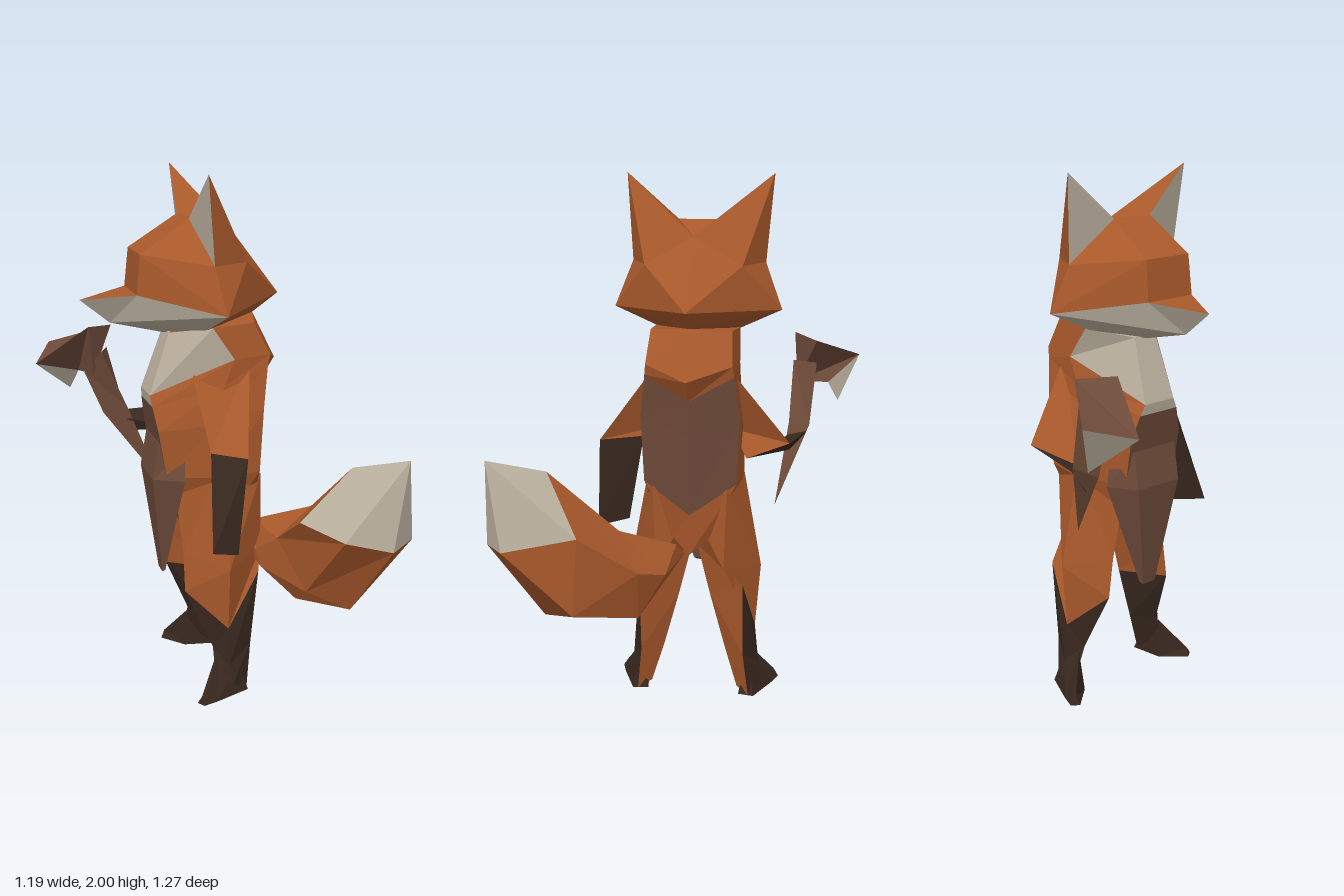
import * as THREE from 'three';

const ORANGE = 0xa9592b, CREAM = 0xbcb19f, DARK = 0x38281f, BROWN = 0x6d4a39;
const MID = -0.05; // the body's mirror plane in z

const vol = ([a, b, c]) => new THREE.Vector3().crossVectors(b, c).dot(a);
const vec = (p, s = 1) => new THREE.Vector3(p[0], p[1], MID + s * p[2]);
const world = (p) => new THREE.Vector3(...p);

// Make one flat-shaded mesh per colour from a list of { tri, color }
function facets(name, list) {
  const group = new THREE.Group();
  group.name = name;
  for (const color of new Set(list.map((f) => f.color))) {
    const pts = list.filter((f) => f.color === color).flatMap((f) => f.tri);
    const geo = new THREE.BufferGeometry().setFromPoints(pts);
    geo.computeVertexNormals();
    const mesh = new THREE.Mesh(geo, new THREE.MeshStandardMaterial({ color, flatShading: true }));
    mesh.name = name + 'Facets';
    group.add(mesh);
  }
  return group;
}

// Skin a closed solid over rings of equal length; pick(ring, side, half) gives a facet's colour
function loft(name, rings, pick) {
  const n = rings[0].length, list = [];
  const add = (a, b, c, color) => {
    if (!a.equals(b) && !b.equals(c) && !a.equals(c)) list.push({ tri: [a, b, c], color });
  };
  for (let r = 0; r < rings.length - 1; r++) {
    for (let i = 0; i < n; i++) {
      const j = (i + 1) % n, [p, q] = [rings[r], rings[r + 1]];
      add(p[i], p[j], q[i], pick(r, i, 0));
      add(p[j], q[j], q[i], pick(r, i, 1));
    }
  }
  const last = rings.length - 1;
  for (let i = 1; i < n - 1; i++) {
    add(rings[0][0], rings[0][i + 1], rings[0][i], pick(0, i, 0));
    add(rings[last][0], rings[last][i], rings[last][i + 1], pick(last, i, 0));
  }
  if (list.reduce((sum, f) => sum + vol(f.tri), 0) < 0) list.forEach((f) => f.tri.reverse());
  return facets(name, list);
}

// Head: named points on one half, each facet mirrored and turned outwards
function makeHead() {
  const P = {
    N: [-0.49, 1.54, 0], J: [-0.38, 1.45, 0], T: [-0.17, 1.4, 0], // nose, jaw, throat
    S: [-0.3, 1.565, 0.105], B: [-0.285, 1.71, 0.1], // snout base, brow
    E: [-0.1, 1.83, 0.085], A: [-0.08, 2, 0.275], O: [-0.05, 1.68, 0.25], // ear
    C: [-0.02, 1.51, 0.315], K: [0.09, 1.68, 0.18], // cheek, skull side
    M: [0.08, 1.78, 0], H: [0.27, 1.53, 0], // crown, back of head
    L: [0.17, 1.46, 0], D: [-0.05, 1.435, 0.16], // nape, under-cheek
  };
  // a lower-case letter is the same point on the other half
  const sets = [
    [ORANGE, 'NSs SsB sbB BbE beE SBC BEO BOC EeM EAM AMK AKO OKC KMH KHC CHL CLD TDd DLd'],
    [CREAM, 'EAO NSJ SJC JCD JDT'],
  ];
  const centre = vec([0.03, 1.57, 0]);
  const list = [], seen = new Set();
  for (const [color, faces] of sets) {
    for (const face of faces.split(' ')) {
      for (const m of [1, -1]) {
        const tri = [...face].map((k) => {
          const up = k.toUpperCase();
          return vec(P[up], k === up ? m : -m);
        });
        const id = tri.map((v) => v.toArray().map((c) => c.toFixed(3)).join()).sort().join('|');
        if (seen.has(id)) continue;
        seen.add(id);
        if (vol(tri.map((v) => v.clone().sub(centre))) < 0) tri.reverse();
        list.push({ tri, color });
      }
    }
  }
  return facets('head', list);
}

export function createModel() {
  const model = new THREE.Group();
  model.name = 'standingFox';
  model.add(makeHead());

  // Torso: front, side, back and spine points per level, mirrored into seven-sided rings
  const levels = [
    [[-0.17, 1.41, 0.05], [-0.03, 1.44, 0.16], [0.13, 1.45, 0.15], [0.17, 1.46, 0]],
    [[-0.25, 1.18, 0.07], [0.05, 1.32, 0.17], [0.19, 1.33, 0.16], [0.26, 1.28, 0]],
    [[-0.245, 1.14, 0.09], [0.01, 1.22, 0.17], [0.18, 1.29, 0.165], [0.21, 1.2, 0]],
    [[-0.23, 1.05, 0.12], [-0.02, 1.08, 0.18], [0.16, 1.13, 0.185], [0.2, 1.06, 0]],
    [[-0.2, 0.87, 0.12], [0, 0.87, 0.185], [0.15, 0.88, 0.175], [0.18, 0.76, 0]],
    [[-0.13, 0.66, 0.06], [0.02, 0.66, 0.13], [0.14, 0.66, 0.07], [0.165, 0.6, 0]],
  ];
  const torsoRings = levels.map((l) => [
    ...l.map((p) => vec(p)), ...l.slice(0, 3).reverse().map((p) => vec(p, -1)),
  ]);
  model.add(loft('torso', torsoRings, (r, i) => {
    if (r === 0 && (i === 0 || i >= 5)) return CREAM;
    if (r === 1 && i === 6) return CREAM;
    if (r >= 2 && i === 6) return BROWN;
    if ((r === 2 || r === 3) && (i === 2 || i === 3)) return BROWN;
    return ORANGE;
  }));

  // Pointed panel hanging from the belly
  const panel = [
    [[-0.225, 1, 0.1], [-0.13, 0.98, 0.13]],
    [[-0.25, 0.86, 0.1], [-0.14, 0.86, 0.16]],
    [[-0.2, 0.45, 0.03], [-0.19, 0.46, 0.04]],
  ].map(([f, b]) => [vec(f), vec(b), vec(b, -1), vec(f, -1)]);
  model.add(loft('bellyPanel', panel, () => BROWN));

  // Legs: rings run front, outer, back, inner; the inner back stays orange down to the heel
  for (const s of [1, -1]) {
    const side = s > 0 ? 'front' : 'rear';
    const leg = [
      [[-0.17, 0.88, 0.09], [0, 0.92, 0.18], [0.165, 0.86, 0.14], [0.1, 0.76, 0]],
      [[-0.14, 0.56, 0.13], [0.01, 0.52, 0.255], [0.17, 0.55, 0.13], [0.04, 0.6, 0.01]],
      [[-0.14, 0.41, 0.15], [0.01, 0.27, 0.235], [0.14, 0.48, 0.2], [0.04, 0.4, 0.06]],
      [[-0.04, 0.18, 0.19], [0.01, 0.12, 0.25], [0.11, 0.18, 0.2], [0.04, 0.18, 0.12]],
      [[-0.04, 0.08, 0.23], [0.02, 0.05, 0.27], [0.09, 0, 0.22], [0.05, 0.02, 0.17]],
    ].map((ring) => ring.map((p) => vec(p, s)));
    model.add(loft(side + 'Leg', leg, (r, i) => (r < 2 || (r < 4 && i === 2) ? ORANGE : DARK)));
    const foot = [
      [[0.09, 0, 0.24], [0.05, 0.12, 0.22], [0.08, 0, 0.18]],
      [[-0.05, 0, 0.3], [-0.03, 0.16, 0.21], [-0.05, 0, 0.2]],
      [[-0.11, 0, 0.32], [-0.115, 0.03, 0.3], [-0.13, 0, 0.29]],
    ].map((ring) => ring.map((p) => vec(p, s)));
    model.add(loft(side + 'Foot', foot, () => DARK));
  }

  // Arms: three-sided, one hanging and one bent forwards
  const shoulder = [[-0.1, 1.28, 0.11], [0.12, 1.32, 0.13], [0.02, 1.06, 0.14]];
  const arms = {
    hangingArm: [1, [[-0.07, 1, 0.27], [0.04, 1, 0.37], [0.03, 1.02, 0.2]],
      [[-0.1, 0.66, 0.4], [0, 0.64, 0.39], [-0.02, 0.67, 0.27]]],
    raisedArm: [-1, [[0.03, 0.95, 0.25], [-0.05, 1.02, 0.36], [-0.07, 0.96, 0.2]],
      [[-0.25, 0.98, 0.33], [-0.23, 1, 0.4], [-0.26, 0.92, 0.36]]],
  };
  arms.raisedArm[1] = [[-0.07, 0.95, 0.25], [0.05, 1.02, 0.36], [0.07, 0.96, 0.2]];
  for (const [name, [s, elbow, hand]] of Object.entries(arms)) {
    const rings = [shoulder, elbow, hand].map((ring) => ring.map((p) => vec(p, s)));
    model.add(loft(name, rings, (r) => (r === 0 ? ORANGE : DARK)));
  }

  // Held tool: tapering handle and a flared head with a pale tip
  const end = [-0.13, 0.72, -0.34], tip = [-0.45, 1.08, -0.56];
  const handle = [
    [end, end, end],
    [[-0.25, 1.03, -0.38], [-0.25, 1.02, -0.46], [-0.34, 1, -0.42]],
    [[-0.35, 1.26, -0.385], [-0.31, 1.26, -0.48], [-0.41, 1.17, -0.44]],
  ].map((ring) => ring.map(world));
  model.add(loft('toolHandle', handle, () => BROWN));
  const toolHead = [
    [[-0.4, 1.365, -0.385], [-0.29, 1.35, -0.48], [-0.38, 1.17, -0.4]],
    [[-0.6, 1.21, -0.47], [-0.52, 1.26, -0.64], [-0.42, 1.16, -0.52]],
    [tip, tip, tip],
  ].map((ring) => ring.map(world));
  model.add(loft('toolHead', toolHead, (r) => (r === 0 ? BROWN : CREAM)));

  // Bushy tail: six-sided rings from root to pale tip
  const root = [0.1, 0.58, -0.02], top = [0.54, 1.04, 0.61];
  const tail = [
    Array(6).fill(root),
    [[0.14, 0.56, 0.12], [0.17, 0.64, 0], [0.34, 0.58, 0.01],
      [0.4, 0.43, 0.1], [0.27, 0.38, 0.22], [0.15, 0.5, 0.15]],
    [[0.19, 0.64, 0.22], [0.34, 0.74, 0.18], [0.45, 0.62, 0.09],
      [0.57, 0.49, 0.3], [0.4, 0.42, 0.45], [0.25, 0.48, 0.38]],
    [[0.21, 0.77, 0.41], [0.4, 0.97, 0.43], [0.57, 0.78, 0.28],
      [0.59, 0.72, 0.55], [0.48, 0.71, 0.635], [0.31, 0.75, 0.6]],
    Array(6).fill(top),
  ].map((ring) => ring.map(world));
  model.add(loft('tail', tail, (r) => (r < 3 ? ORANGE : CREAM)));

  return model;
}
